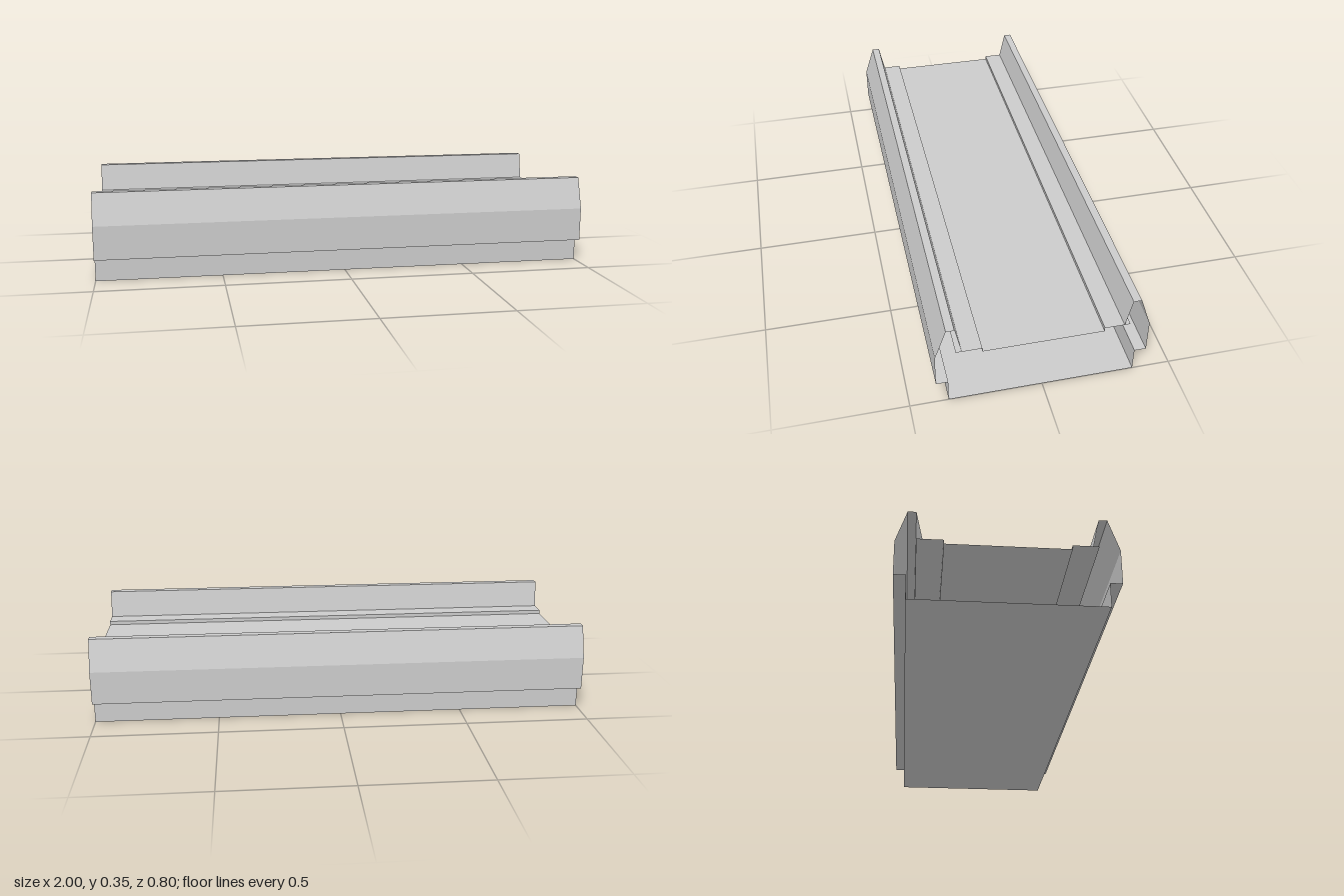
import * as THREE from 'three';

const LENGTH = 2;
const material = new THREE.MeshStandardMaterial({
  color: 0xcccccc, flatShading: true, side: THREE.DoubleSide,
});

// Thin folded sheet: sweeps a [z, y] profile along x with sharp folds
function foldedSheet(name, profile) {
  const positions = [];
  const h = LENGTH / 2;
  for (let i = 0; i < profile.length - 1; i++) {
    const [z0, y0] = profile[i];
    const [z1, y1] = profile[i + 1];
    positions.push(
      -h, y0, z0, h, y0, z0, h, y1, z1,
      -h, y0, z0, h, y1, z1, -h, y1, z1,
    );
  }
  const geometry = new THREE.BufferGeometry();
  geometry.setAttribute('position', new THREE.Float32BufferAttribute(positions, 3));
  geometry.computeVertexNormals();
  const mesh = new THREE.Mesh(geometry, material);
  mesh.name = name;
  return mesh;
}

// Mirrors half a profile across z = 0 into one continuous profile
const mirrored = (half) => [...half, ...half.map(([z, y]) => [-z, y]).reverse()];

export function createModel() {
  const group = new THREE.Group();
  group.name = 'cableTrunking';

  // Open channel: inner flange, ridge, sloped side, lip, lower wall, bottom
  group.add(foldedSheet('channel', mirrored([
    [0.303, 0.243],
    [0.327, 0.355],
    [0.358, 0.355],
    [0.4, 0.23],
    [0.4, 0.095],
    [0.355, 0.095],
    [0.355, 0],
  ])));

  // Recessed cover with a ledge tucked under each flange
  group.add(foldedSheet('cover', mirrored([
    [0.325, 0.243],
    [0.228, 0.243],
    [0.228, 0.227],
  ])));

  return group;
}
